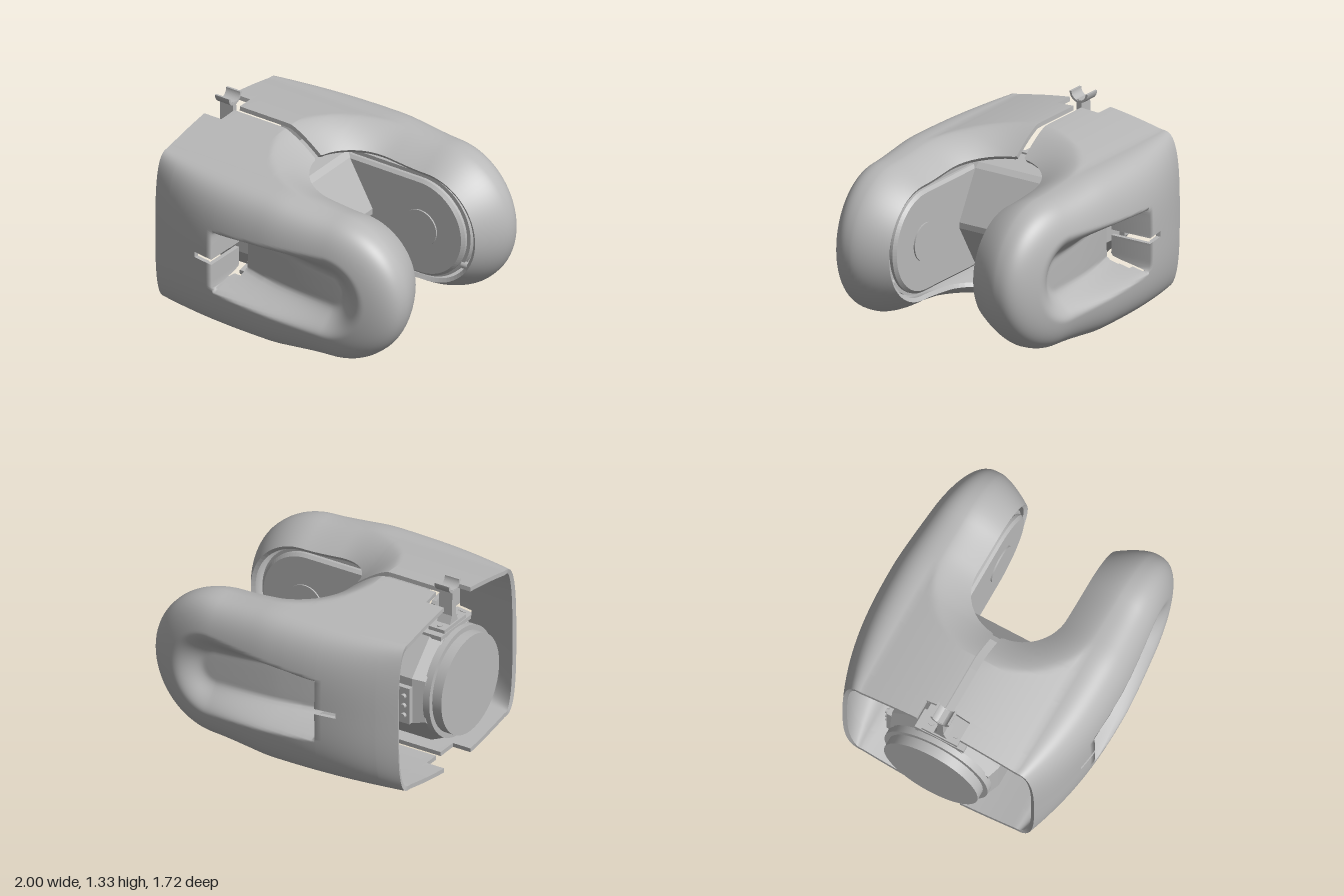
import * as THREE from 'three';

const CY = 0.625; // height of the symmetry plane
const clamp = (v) => Math.min(1, Math.max(0, v));
const smooth = (a, b, v) => { const t = clamp((v - a) / (b - a)); return t * t * (3 - 2 * t); };
const lerp = (a, b, t) => a + (b - a) * t;

// Outer width of the shell along x
const outerZ = (x) => x < 0.05
  ? 0.87 - 0.165 * Math.pow((0.05 - x) / 0.95, 2.6)
  : 0.87 - 0.1 * Math.pow((x - 0.05) / 0.95, 1.4);

// Inner edge of the shell: slit, clip notch and U-shaped mouth
function innerZ(x) {
  if (x < -0.76) return 0.16;
  const dx = Math.min(x - 0.22, 0);
  return Math.max(0.03, Math.sqrt(Math.max(0, 0.33 * 0.33 - dx * dx)));
}

// Half height of the shell, rolled inwards towards the mouth
function halfHeight(x, z) {
  const d = Math.hypot(Math.min(x - 0.22, 0), z) - 0.33;
  const k = clamp(1 - d / 0.25);
  return 0.62 - 0.19 * Math.pow(z, 1.5) - 0.035 * smooth(0, 0.5, x) - 0.155 * Math.pow(k, 1.35);
}

// Depth of the scoop pressed into the outer face
function scoop(x, y) {
  if (x < -0.348) return 0;
  const t = clamp((x + 0.35) / 1.1);
  const inside = 0.22 + 0.08 * clamp((x + 0.35) / 0.85) - Math.hypot(Math.max(x - 0.5, 0), y);
  return smooth(0, lerp(0.07, 0.24, t), inside) * lerp(0.3, 0.09, t);
}

// Gives a grid of points thickness; keep() decides which cells exist
function thickSheet(grid, keep, thickness) {
  const ni = grid.length, nj = grid[0].length, N = ni * nj;
  const id = (i, j) => i * nj + j;
  const outer = grid.flat();
  const cell = (i, j) => i >= 0 && j >= 0 && i < ni - 1 && j < nj - 1 &&
    keep(grid[i][j].clone().add(grid[i + 1][j + 1]).multiplyScalar(0.5), j);
  const index = [];
  for (let i = 0; i < ni - 1; i++) for (let j = 0; j < nj - 1; j++) {
    if (!cell(i, j)) continue;
    const a = id(i, j), b = id(i + 1, j), c = id(i + 1, j + 1), d = id(i, j + 1);
    index.push(a, d, c, a, c, b);
  }
  const skin = new THREE.BufferGeometry().setFromPoints(outer);
  skin.setIndex(index);
  skin.computeVertexNormals();
  const nrm = skin.attributes.normal;
  const inner = outer.map((p, i) => p.clone().addScaledVector(new THREE.Vector3().fromBufferAttribute(nrm, i), -thickness));
  const points = [...outer, ...inner];
  const all = [...index];
  for (let k = 0; k < index.length; k += 3) all.push(index[k] + N, index[k + 2] + N, index[k + 1] + N);
  // Rim walls around every open edge
  const rim = (p, q) => {
    const s = points.length;
    points.push(outer[p], outer[q], inner[q], inner[p]);
    all.push(s, s + 2, s + 1, s, s + 3, s + 2);
  };
  for (let i = 0; i < ni - 1; i++) for (let j = 0; j < nj - 1; j++) {
    if (!cell(i, j)) continue;
    const a = id(i, j), b = id(i + 1, j), c = id(i + 1, j + 1), d = id(i, j + 1);
    if (!cell(i - 1, j)) rim(a, d);
    if (!cell(i, j + 1) && j < nj - 2) rim(d, c);
    if (!cell(i + 1, j)) rim(c, b);
    if (!cell(i, j - 1)) rim(b, a);
  }
  const g = new THREE.BufferGeometry().setFromPoints(points);
  g.setIndex(all);
  g.computeVertexNormals();
  return g;
}

// One half of the shell: a section swept along the top, round the tip, back along the bottom
function shellGeometry() {
  const xs = [-0.9, -0.85, -0.8, -0.765, -0.755, -0.7, -0.65, -0.6, -0.55, -0.5, -0.45, -0.4, -0.352, -0.345,
    -0.325, -0.305, -0.288, -0.274, -0.264, -0.255, -0.23, -0.2, -0.16, -0.13, -0.115, -0.107, -0.1, -0.09, -0.07, -0.04];
  for (let x = 0; x < 0.499; x += 0.04) xs.push(x);
  const path = xs.map((x) => [x, Math.PI / 2]);
  for (let i = 0; i <= 36; i++) path.push([0.5, Math.PI / 2 - Math.PI * i / 36]);
  for (const x of [...xs].reverse()) path.push([x, -Math.PI / 2]);
  const nA = 18, nB = 56;
  const grid = path.map(([sx, ang]) => {
    const c = Math.cos(ang), s = Math.sin(ang), row = [];
    const z0 = innerZ(sx), z1 = Math.min(0.57, outerZ(sx) - 0.14);
    for (let k = 0; k < nA; k++) {
      const z = lerp(z0, z1, Math.pow(k / nA, 1.3)), r = halfHeight(sx, z);
      row.push(new THREE.Vector3(sx + r * c, CY + r * s, z));
    }
    const r1 = halfHeight(sx, z1);
    for (let k = 0; k <= nB; k++) {
      const rho = 1 - (k / nB) ** 2, r = r1 * rho, x = sx + r * c;
      const z = z1 + (outerZ(x) - z1) * Math.cbrt(1 - rho ** 3) - scoop(x, r * s);
      row.push(new THREE.Vector3(x, CY + r * s, z));
    }
    return row;
  });
  const keep = (p, j) => {
    if (j < nA) return true;
    const y = Math.abs(p.y - CY);
    const hole = p.x > -0.346 && ((p.x + 0.346) / 0.09) ** 3 + (y / 0.2) ** 3 < 1;
    const slot = p.x > -0.5 && p.x < -0.34 && y < 0.025;
    return !hole && !slot;
  };
  return thickSheet(grid, keep, 0.03);
}

// Mirrors a geometry in z and restores its winding
function mirrorZ(g) {
  const m = g.clone().scale(1, 1, -1), ix = m.index.array;
  for (let k = 0; k < ix.length; k += 3) [ix[k + 1], ix[k + 2]] = [ix[k + 2], ix[k + 1]];
  m.computeVertexNormals();
  return m;
}

function polygon(pts) { return new THREE.Shape(pts.map(([x, y]) => new THREE.Vector2(x, y))); }

function stadium(x0, x1, h) {
  const s = new THREE.Shape();
  s.moveTo(x0, CY - h);
  s.lineTo(x1 - h, CY - h);
  s.absarc(x1 - h, CY, h, -Math.PI / 2, Math.PI / 2, false);
  s.lineTo(x0, CY + h);
  s.closePath();
  return s;
}

function extrude(shape, depth, bevel = 0) {
  return new THREE.ExtrudeGeometry(shape, {
    depth: depth - 2 * bevel, bevelEnabled: bevel > 0, bevelSize: bevel, bevelThickness: bevel,
    bevelOffset: -bevel, bevelSegments: 1, curveSegments: 24,
  }).translate(0, 0, bevel - depth / 2);
}

export function createModel() {
  const model = new THREE.Group();
  const grey = new THREE.MeshStandardMaterial({ color: 0xb8b8b8 });
  grey.name = 'plain grey';
  const add = (name, geo, x = 0, y = 0, z = 0) => {
    const mesh = new THREE.Mesh(geo, grey);
    mesh.name = name;
    mesh.position.set(x, y, z);
    model.add(mesh);
  };
  const alongX = (r0, r1, len, seg = 48) => new THREE.CylinderGeometry(r0, r1, len, seg).rotateZ(Math.PI / 2);
  const octagon = (r0, r1, len) => {
    const f = alongX(r0, r1, len, 8).rotateX(Math.PI / 8).toNonIndexed();
    f.computeVertexNormals();
    return f;
  };

  // Two shell halves
  const shell = shellGeometry();
  add('frontShell', shell);
  add('backShell', mirrorZ(shell));

  // Wedge-fronted housing between the arms, with a passage through it
  const body = polygon([[-0.42, 0.27], [-0.12, 0.27], [-0.08, 0.3], [0.1, 0.6], [0.1, 0.64], [-0.08, 0.96], [-0.12, 0.99], [-0.42, 1.01]]);
  body.holes.push(new THREE.Path([[-0.36, 0.41], [-0.36, 0.84], [-0.24, 0.84], [-0.24, 0.41]].map((p) => new THREE.Vector2(...p))));
  add('centreHousing', extrude(body, 0.66));

  // Faceted drive block and round end cap
  add('driveBlock', octagon(0.425, 0.425, 0.44), -0.585, CY);
  add('driveTaper', octagon(0.39, 0.425, 0.085), -0.8475, CY);
  add('endFlange', alongX(0.38, 0.38, 0.05), -0.905, CY);
  add('endCap', alongX(0.345, 0.345, 0.1), -0.95, CY);

  // Socket plate with pins on the back of the drive block
  add('socketPlate', new THREE.BoxGeometry(0.14, 0.26, 0.06), -0.74, 0.6, -0.4);
  for (let i = 0; i < 3; i++) for (const dx of [-0.03, 0.03]) {
    add('socketPin', new THREE.CylinderGeometry(0.018, 0.018, 0.03, 16).rotateX(Math.PI / 2), -0.74 + dx, 0.53 + i * 0.07, -0.44);
  }

  // Inner arm plates with a round boss
  for (const [name, side, face] of [['front', 1, 0.335], ['back', -1, 0.305]]) {
    add(name + 'ArmPlate', extrude(stadium(-0.1, 0.82, 0.35), 0.06, 0.02), 0, 0, side * (face + 0.03));
    add(name + 'ArmBacking', extrude(stadium(-0.1, 0.84, 0.37), 0.05), 0, 0, side * (face + 0.075));
    add(name + 'Boss', new THREE.CylinderGeometry(0.13, 0.13, 0.02, 40).rotateX(Math.PI / 2), 0.48, CY, side * face);
    add(name + 'PlateBolt', alongX(0.025, 0.025, 0.06, 16), 0.8, 0.42, side * (face + 0.06));
  }

  // Cable clip on top
  add('clipPad', new THREE.BoxGeometry(0.14, 0.03, 0.36), -0.82, 1.005);
  add('clipBase', new THREE.BoxGeometry(0.12, 0.03, 0.26), -0.825, 1.03);
  for (const z of [-0.09, 0.09]) add('clipScrew', new THREE.CylinderGeometry(0.02, 0.02, 0.008, 16), -0.825, 1.048, z);
  const post = polygon([[-0.05, 1.04], [0.05, 1.04], [0.024, 1.1], [0.018, 1.285], [-0.018, 1.285], [-0.024, 1.1]]);
  add('clipPost', extrude(post, 0.1).rotateY(Math.PI / 2), -0.825);
  const hook = new THREE.Shape();
  hook.absarc(0, 1.335, 0.07, Math.PI, 2 * Math.PI, false);
  hook.absarc(0, 1.335, 0.055, 2 * Math.PI, Math.PI, true);
  add('clipHook', extrude(hook, 0.11).rotateY(Math.PI / 2), -0.825);

  // Pointed bracket and screw beneath the housing
  const bracket = polygon([[-0.32, 0.29], [-0.15, 0.25], [-0.09, 0.22], [-0.03, 0.15], [0.03, 0.15], [0.09, 0.22], [0.15, 0.25], [0.32, 0.29]]);
  add('lowerBracket', extrude(bracket, 0.14).rotateY(Math.PI / 2), -0.14);
  add('lowerScrew', alongX(0.023, 0.023, 0.06, 20), -0.05, 0.24);
  return model;
}
